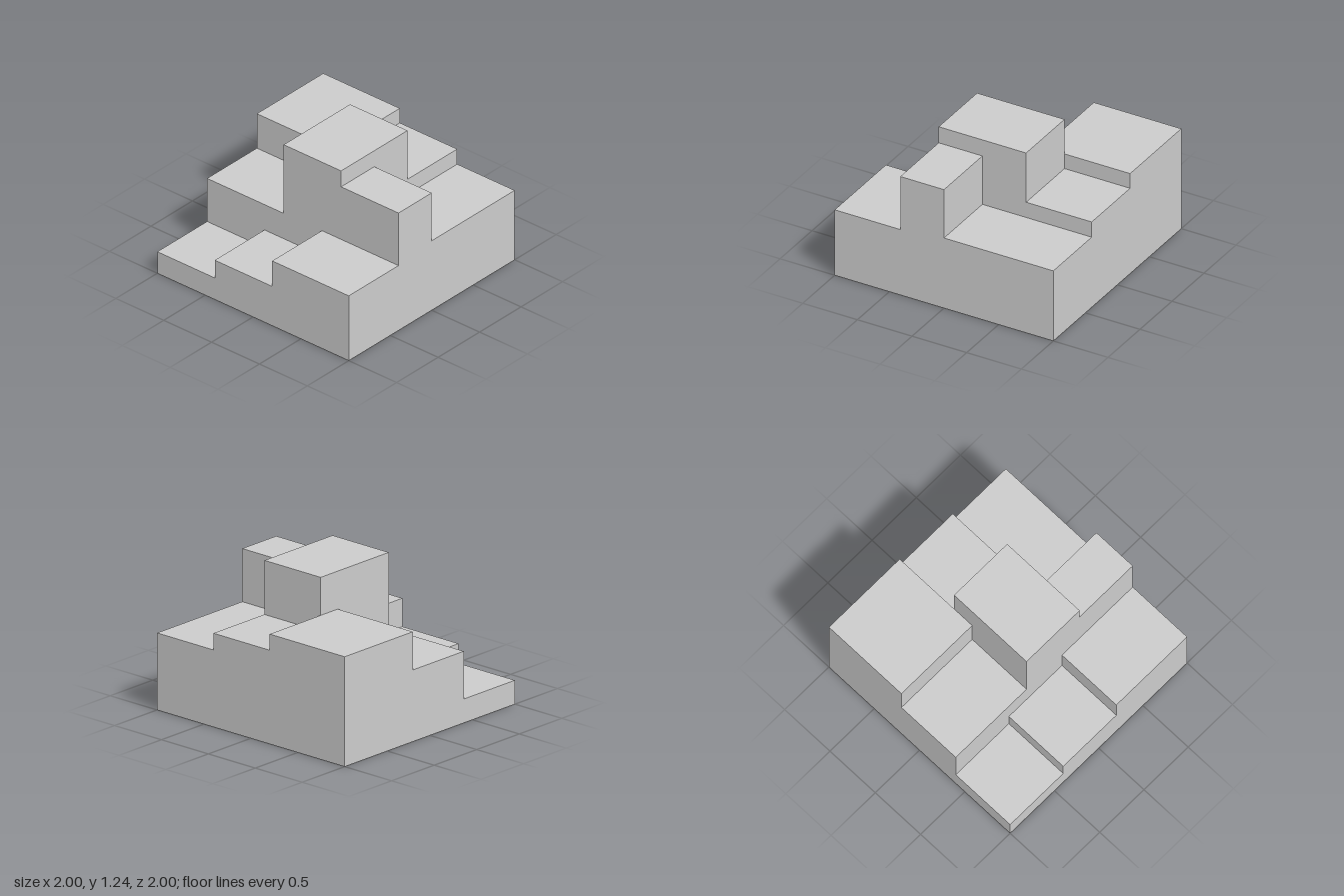
import * as THREE from 'three';

// Box standing on the ground with no underside, seen from inside and outside
function openBox(x0, x1, z0, z1, height, material) {
  const geometry = new THREE.BoxGeometry(x1 - x0, height, z1 - z0);
  const index = Array.from(geometry.index.array);
  index.splice(18, 6); // drop the bottom face
  geometry.setIndex(index);
  geometry.clearGroups();
  geometry.translate((x0 + x1) / 2, height / 2, (z0 + z1) / 2);
  return new THREE.Mesh(geometry, material);
}

export function createModel() {
  const group = new THREE.Group();
  group.name = 'steppedBlocks';
  const material = new THREE.MeshStandardMaterial({
    color: 0xcccccc, flatShading: true, side: THREE.DoubleSide,
  });

  // name, x from, x to, z from, z to, height
  const blocks = [
    ['backRightBlock', -1, -0.4, -1, -0.4, 0.2],
    ['middleRightBlock', -1, -0.4, -0.4, 0.2, 0.365],
    ['frontRightBlock', -1, -0.4, 0.2, 1, 0.602],
    ['backMiddleBlock', -0.4, 0.2, -1, -0.2, 0.6],
    ['backLeftBlock', 0.2, 1, -1, -0.2, 0.92],
    ['centreTower', -0.4, 0.4, -0.2, 0.4, 1.238],
    ['middleLeftBlock', 0.4, 1, -0.2, 0.4, 0.785],
    ['frontTower', -0.4, 0, 0.4, 1, 1.09],
    ['frontLeftBlock', 0, 1, 0.4, 1, 0.645],
  ];
  for (const [name, x0, x1, z0, z1, height] of blocks) {
    const block = openBox(x0, x1, z0, z1, height, material);
    block.name = name;
    group.add(block);
  }
  return group;
}
